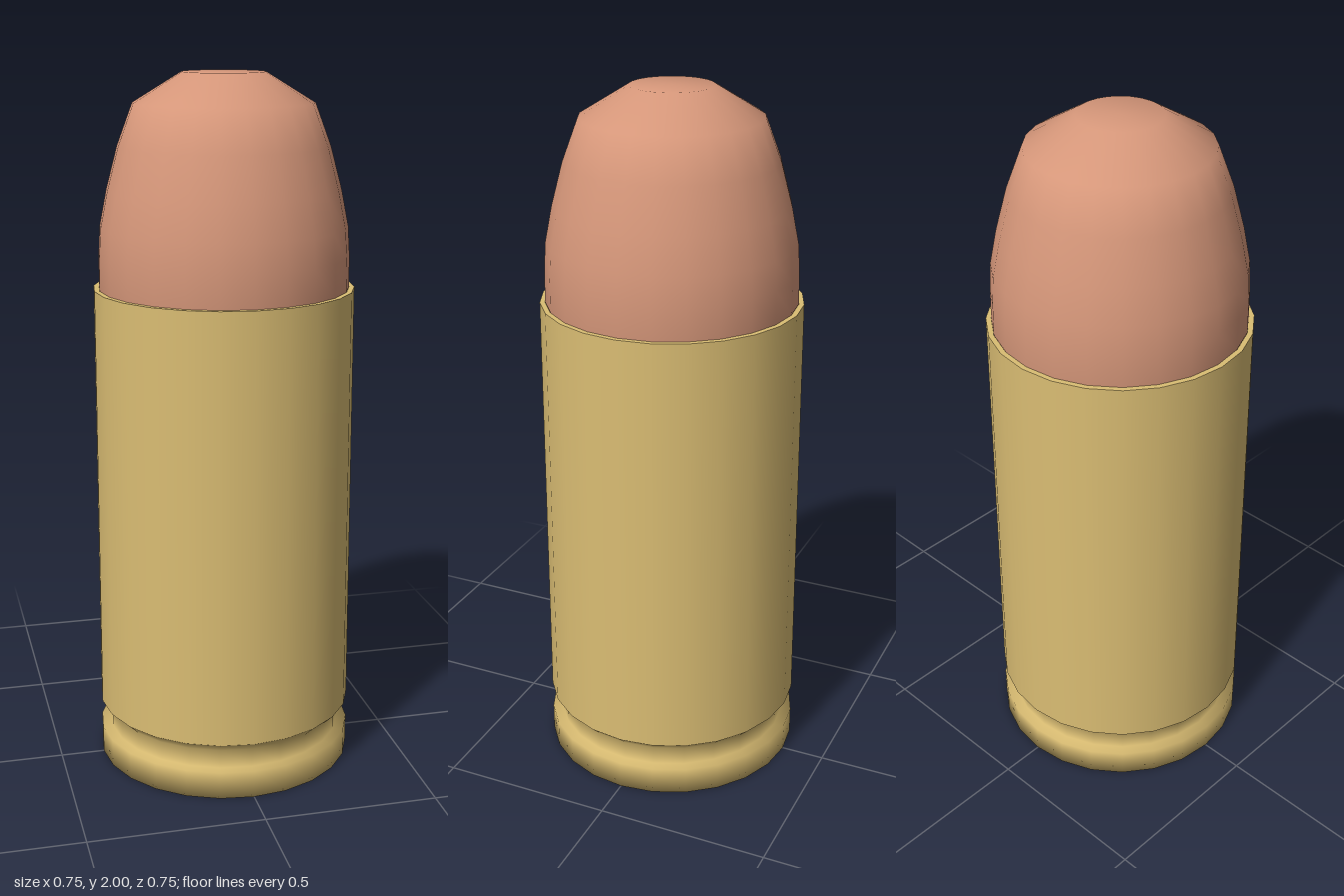
import * as THREE from 'three';

const SIDES = 24;

export function createModel() {
  const model = new THREE.Group();
  const brass = new THREE.MeshStandardMaterial({ color: 0xdabd73 });
  brass.name = 'brass';
  const copper = new THREE.MeshStandardMaterial({ color: 0xd6977a });
  copper.name = 'copper';

  // Turns a [radius, height] profile, listed upward on the outside
  function turned(name, material, profile) {
    const points = profile.map(([r, y]) => new THREE.Vector2(r, y));
    const mesh = new THREE.Mesh(new THREE.LatheGeometry(points, SIDES), material);
    mesh.name = name;
    model.add(mesh);
  }

  // Closed base, rim and extractor groove
  turned('baseRim', brass, [
    [0, 0], [0.373, 0], [0.373, 0.08], [0.342, 0.08], [0.342, 0.135], [0.373, 0.165],
  ]);

  // Slightly tapered case wall
  turned('caseWall', brass, [[0.373, 0.165], [0.369, 1.408]]);

  // Mouth of the case: flat lip and short inner wall
  turned('caseLip', brass, [[0.369, 1.408], [0.354, 1.408]]);
  turned('caseMouth', brass, [[0.354, 1.408], [0.352, 1.36]]);

  // Rounded nose with a small flat tip
  turned('noseTip', copper, [
    [0.345, 1.38], [0.354, 1.41], [0.353, 1.5], [0.348, 1.58], [0.328, 1.68],
    [0.296, 1.8], [0.252, 1.917], [0.116, 2], [0, 2],
  ]);

  return model;
}
